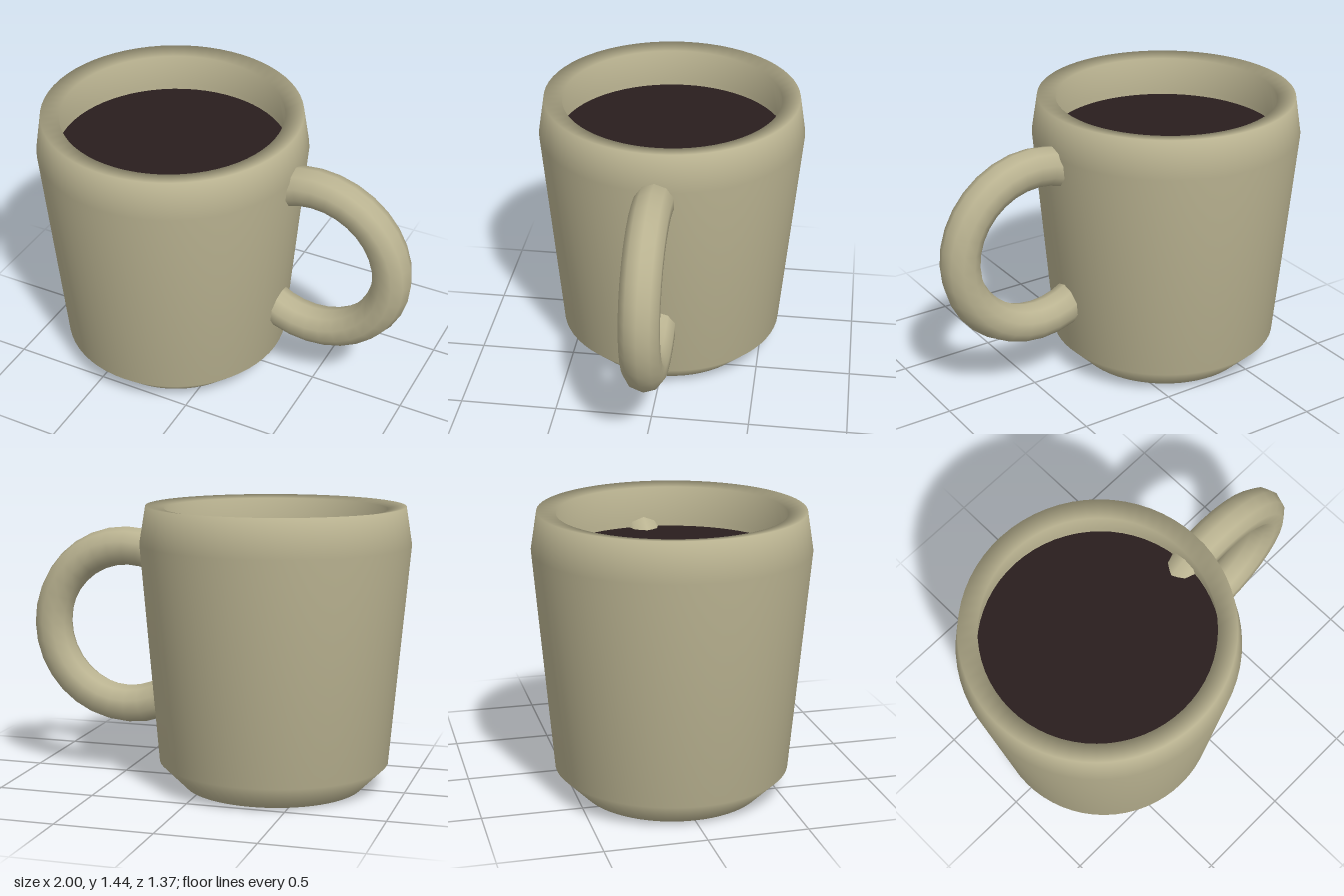
import * as THREE from 'three';

const v = (x, y) => new THREE.Vector2(x, y);

export function createModel() {
  const ceramic = new THREE.MeshStandardMaterial({ color: 0xbab391, side: THREE.DoubleSide });
  ceramic.name = 'stoneware';
  const brew = new THREE.MeshStandardMaterial({ color: 0x291e1e });
  brew.name = 'coffee';

  const model = new THREE.Group();
  model.name = 'mug';
  const axisX = -0.314;
  const add = (name, geometry, material, x, y) => {
    const mesh = new THREE.Mesh(geometry, material);
    mesh.name = name;
    mesh.position.set(x, y, 0);
    model.add(mesh);
    return mesh;
  };

  // One smooth shell: bevelled foot, tapered wall, shoulder, rim, then the
  // inner wall back down, leaving the underside open
  const profile = [
    v(0.46, 0), v(0.59, 0.13), v(0.686, 1.25), v(0.655, 1.442),
    v(0.562, 1.428), v(0.59, 1.24), v(0.495, 0.17),
  ];
  add('cup', new THREE.LatheGeometry(profile, 64), ceramic, axisX, 0);

  // Coffee surface
  const coffee = add('coffee', new THREE.CircleGeometry(0.588, 64), brew, axisX, 1.215);
  coffee.rotation.x = -Math.PI / 2;

  // Ring handle passing through the wall
  add('handle', new THREE.TorusGeometry(0.42, 0.1, 10, 32), ceramic, 0.48, 0.79);

  return model;
}
